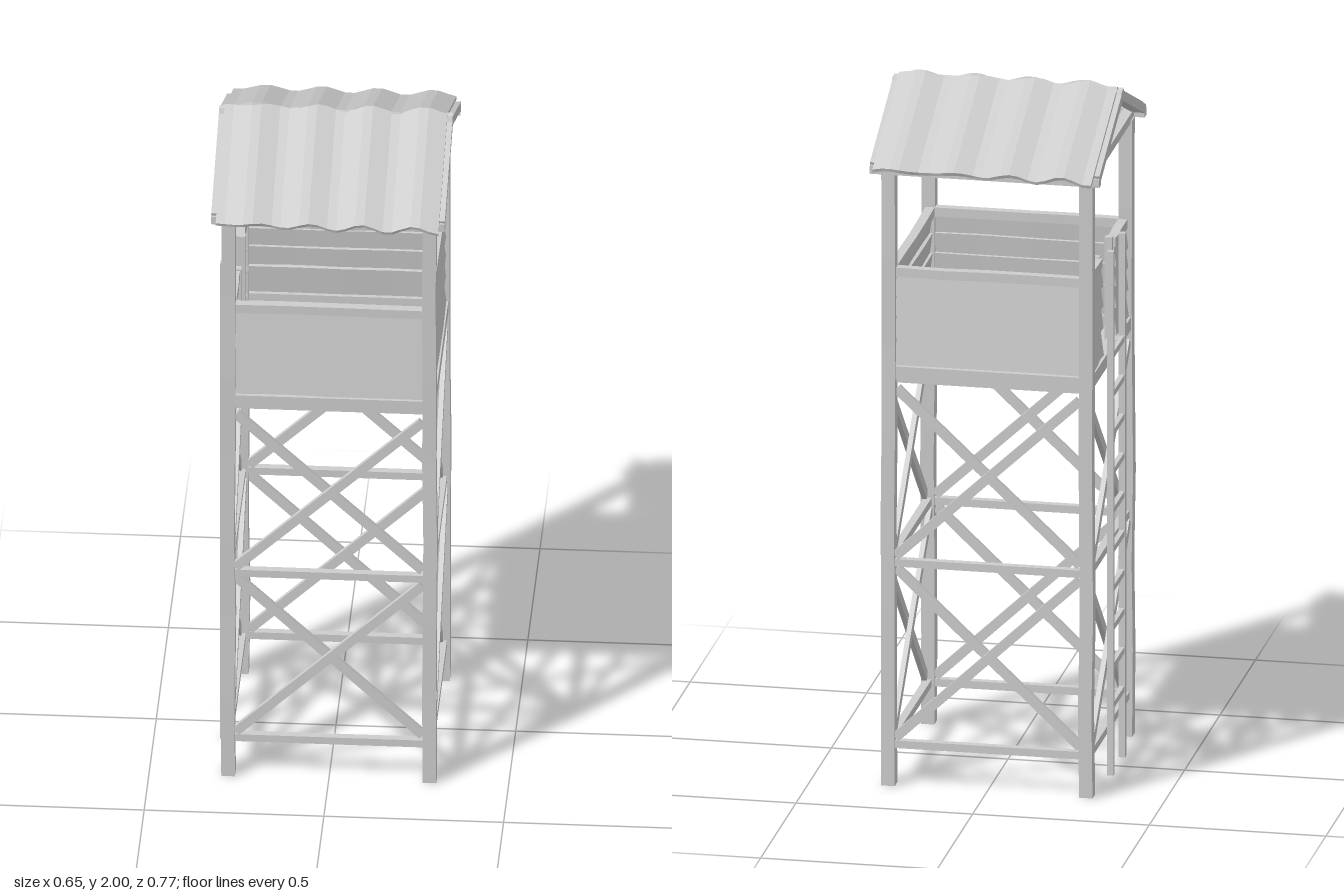
import * as THREE from 'three';

export function createModel() {
  const tower = new THREE.Group();
  tower.name = 'watchtower';
  const wood = new THREE.MeshStandardMaterial({ color: 0xcccccc, flatShading: true });
  wood.name = 'plain grey';

  let seed = 7;
  const rand = () => ((seed = (seed * 16807) % 2147483647) / 2147483647) * 2 - 1;

  function add(parent, name, geometry, x = 0, y = 0, z = 0) {
    const mesh = new THREE.Mesh(geometry, wood);
    mesh.name = name;
    mesh.position.set(x, y, z);
    parent.add(mesh);
    return mesh;
  }
  const box = (parent, name, w, h, d, x, y, z) =>
    add(parent, name, new THREE.BoxGeometry(w, h, d), x, y, z);

  // Hand-hewn timber: shift each inner cross-section a little
  function roughBox(w, h, d, axis, segments, amount) {
    const seg = [1, 1, 1];
    seg[axis] = segments;
    const g = new THREE.BoxGeometry(w, h, d, ...seg);
    const size = [w, h, d][axis];
    const shifts = Array.from({ length: segments + 1 }, (_, i) =>
      i === 0 || i === segments ? [0, 0] : [rand() * amount, rand() * amount]);
    const p = g.attributes.position;
    for (let i = 0; i < p.count; i++) {
      const s = shifts[Math.round((p.getComponent(i, axis) / size + 0.5) * segments)];
      const a = (axis + 1) % 3, b = (axis + 2) % 3;
      p.setComponent(i, a, p.getComponent(i, a) + s[0]);
      p.setComponent(i, b, p.getComponent(i, b) + s[1]);
    }
    g.computeVertexNormals();
    return g;
  }

  // Corner posts
  for (const x of [-0.28, 0.28])
    for (const z of [-0.28, 0.28])
      add(tower, 'cornerPost', roughBox(0.038, 1.8, 0.038, 1, 7, 0.003), x, 0.9, z);

  // Clapboard wall section between two positions along a side
  function wall(side, from, to) {
    const length = to - from, mid = (from + to) / 2;
    const edges = [1.23, 1.31, 1.374, 1.432, 1.492];
    for (let i = 0; i < 4; i++) {
      const h = edges[i + 1] - edges[i];
      const plank = add(side, 'wallPlank', roughBox(length, h + 0.008, 0.014, 0, 4, 0.002),
        mid, (edges[i] + edges[i + 1]) / 2, 0.277);
      plank.rotation.x = -0.13;
    }
    add(side, 'wallTopRail', roughBox(length, 0.026, 0.026, 0, 4, 0.002), mid, 1.498, 0.273);
  }

  // Four framed sides; the one facing -x has the ladder doorway
  for (let k = 0; k < 4; k++) {
    const side = new THREE.Group();
    side.name = 'side';
    side.rotation.y = (k * Math.PI) / 2;
    tower.add(side);

    for (const y of [0.12, 0.65]) box(side, 'crossBeam', 0.53, 0.022, 0.022, 0, y, 0.28);
    box(side, 'floorBeam', 0.53, 0.038, 0.03, 0, 1.206, 0.28);

    for (const [low, high] of [[0.13, 0.64], [0.66, 1.165]])
      for (const s of [-1, 1]) {
        const rise = high - low - 0.02, run = 0.52;
        const brace = box(side, 'diagonalBrace', Math.hypot(rise, run), 0.027, 0.014,
          0, (low + high) / 2, 0.28 + s * 0.007);
        brace.rotation.z = s * Math.atan2(rise, run);
      }

    if (k === 3) {
      wall(side, -0.262, -0.09);
      wall(side, 0.09, 0.262);
      for (const x of [-0.09, 0.09]) box(side, 'doorStud', 0.02, 0.3, 0.022, x, 1.365, 0.268);
    } else wall(side, -0.262, 0.262);
  }

  // Platform floor
  box(tower, 'floor', 0.55, 0.022, 0.55, 0, 1.183, 0);

  // Ladder
  const ladder = new THREE.Group();
  ladder.name = 'ladder';
  tower.add(ladder);
  for (const z of [-0.08, 0.086]) box(ladder, 'ladderRail', 0.018, 1.53, 0.018, -0.307, 0.765, z);
  for (let i = 0; i < 10; i++)
    box(ladder, 'ladderRung', 0.014, 0.018, 0.17, -0.307, 0.2 + i * 0.1137, 0.003);

  // Roof frame: gable ties, eave beams and rafters
  const roof = new THREE.Group();
  roof.name = 'roof';
  tower.add(roof);
  for (const s of [-1, 1]) {
    box(roof, 'gableTie', 0.03, 0.026, 0.62, s * 0.28, 1.806, 0);
    box(roof, 'eaveBeam', 0.65, 0.024, 0.026, 0, 1.808, s * 0.32);
  }

  // Each slope: corrugated sheet over two end rafters
  const pitch = Math.atan2(0.165, 0.375);
  const length = Math.hypot(0.165, 0.375);
  for (const s of [-1, 1]) {
    const slope = new THREE.Group();
    slope.name = 'roofSlope';
    slope.position.y = 1.985;
    slope.rotation.order = 'YXZ';
    slope.rotation.set(pitch, s > 0 ? 0 : Math.PI, 0);
    roof.add(slope);

    const sheet = new THREE.BoxGeometry(0.62, 0.01, length, 24, 1, 1);
    const p = sheet.attributes.position;
    for (let i = 0; i < p.count; i++) {
      const x = p.getX(i);
      const wave = Math.cos((x * s * Math.PI * 2) / 0.155 + 2.6);
      p.setY(i, p.getY(i) + 0.008 * wave);
      p.setZ(i, p.getZ(i) + 0.006 * Math.sin(x * 47));
    }
    sheet.computeVertexNormals();
    add(slope, 'corrugatedSheet', sheet, 0, 0, length / 2);

    for (const x of [-0.307, 0.307])
      box(slope, 'rafter', 0.036, 0.026, 0.372, x, -0.024, 0.178);
  }
  return tower;
}
